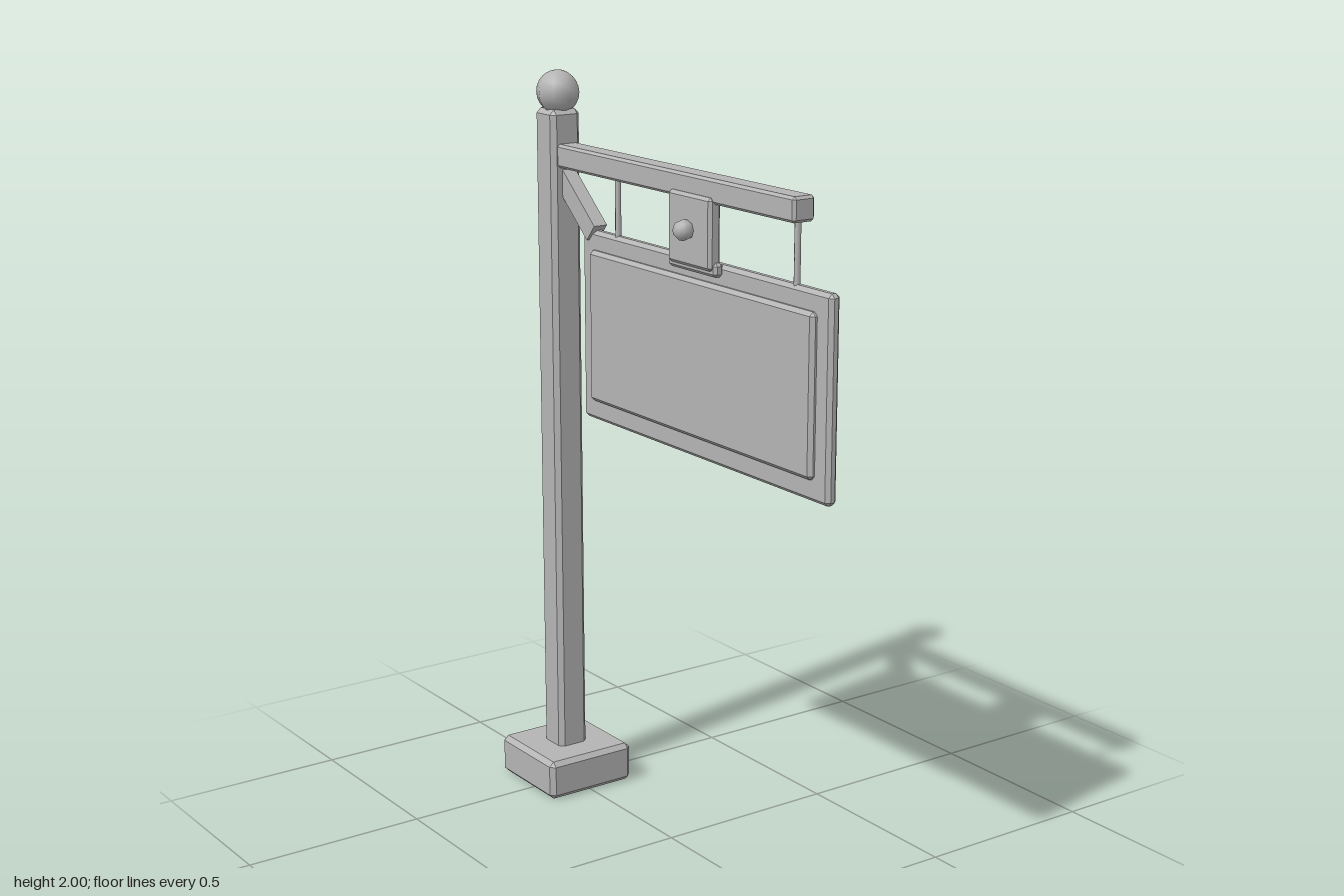
import * as THREE from 'three';
import { ConvexGeometry } from 'three/addons/geometries/ConvexGeometry.js';

const paint = new THREE.MeshStandardMaterial({ color: 0xb4b4b4 });
paint.name = 'plain grey';

// Box with chamfered edges, given by its centre and size
function chamferBox(name, [x, y, z], [w, h, d], c) {
  const points = [];
  for (const sx of [-1, 1]) for (const sy of [-1, 1]) for (const sz of [-1, 1]) {
    for (let axis = 0; axis < 3; axis++) {
      const inset = [c, c, c];
      inset[axis] = 0;
      points.push(new THREE.Vector3(
        sx * (w / 2 - inset[0]), sy * (h / 2 - inset[1]), sz * (d / 2 - inset[2])));
    }
  }
  return place(name, new ConvexGeometry(points), x, y, z);
}

function place(name, geometry, x, y, z) {
  const mesh = new THREE.Mesh(geometry, paint);
  mesh.name = name;
  mesh.position.set(x, y, z);
  return mesh;
}

export function createModel() {
  const sign = new THREE.Group();
  sign.name = 'hangingSign';

  // Post standing on a square foot, with a ball on top
  sign.add(
    chamferBox('base', [-0.518, 0.055, 0], [0.266, 0.11, 0.266], 0.013),
    chamferBox('post', [-0.52, 0.99, 0], [0.09, 1.82, 0.09], 0.013),
    place('ballFinial', new THREE.SphereGeometry(0.058, 8, 12), -0.518, 1.942, 0));

  // Horizontal arm and its diagonal brace
  sign.add(chamferBox('arm', [0.02, 1.78, -0.002], [1.02, 0.062, 0.064], 0.007));
  const brace = place('brace', new THREE.BoxGeometry(0.21, 0.055, 0.04), -0.423, 1.662, -0.004);
  brace.rotation.z = -0.71;
  sign.add(brace);

  // Two thin rods holding the board
  for (const x of [-0.246, 0.5]) {
    sign.add(place('hanger', new THREE.CylinderGeometry(0.008, 0.008, 0.18, 8), x, 1.675, -0.006));
  }

  // Board with a raised front panel
  sign.add(
    chamferBox('board', [0.125, 1.345, -0.008], [1.04, 0.51, 0.032], 0.01),
    chamferBox('raisedPanel', [0.125, 1.348, 0.01], [0.94, 0.405, 0.026], 0.01));

  // Clasp plate with a wider lip and a round knob
  sign.add(
    chamferBox('claspPlate', [0.127, 1.675, 0.022], [0.178, 0.18, 0.036], 0.008),
    chamferBox('claspLip', [0.125, 1.588, 0.016], [0.2, 0.036, 0.028], 0.008));
  const knob = place('knob', new THREE.SphereGeometry(0.027, 8, 6), 0.127, 1.677, 0.054);
  knob.rotation.x = Math.PI / 2;
  sign.add(knob);

  return sign;
}
